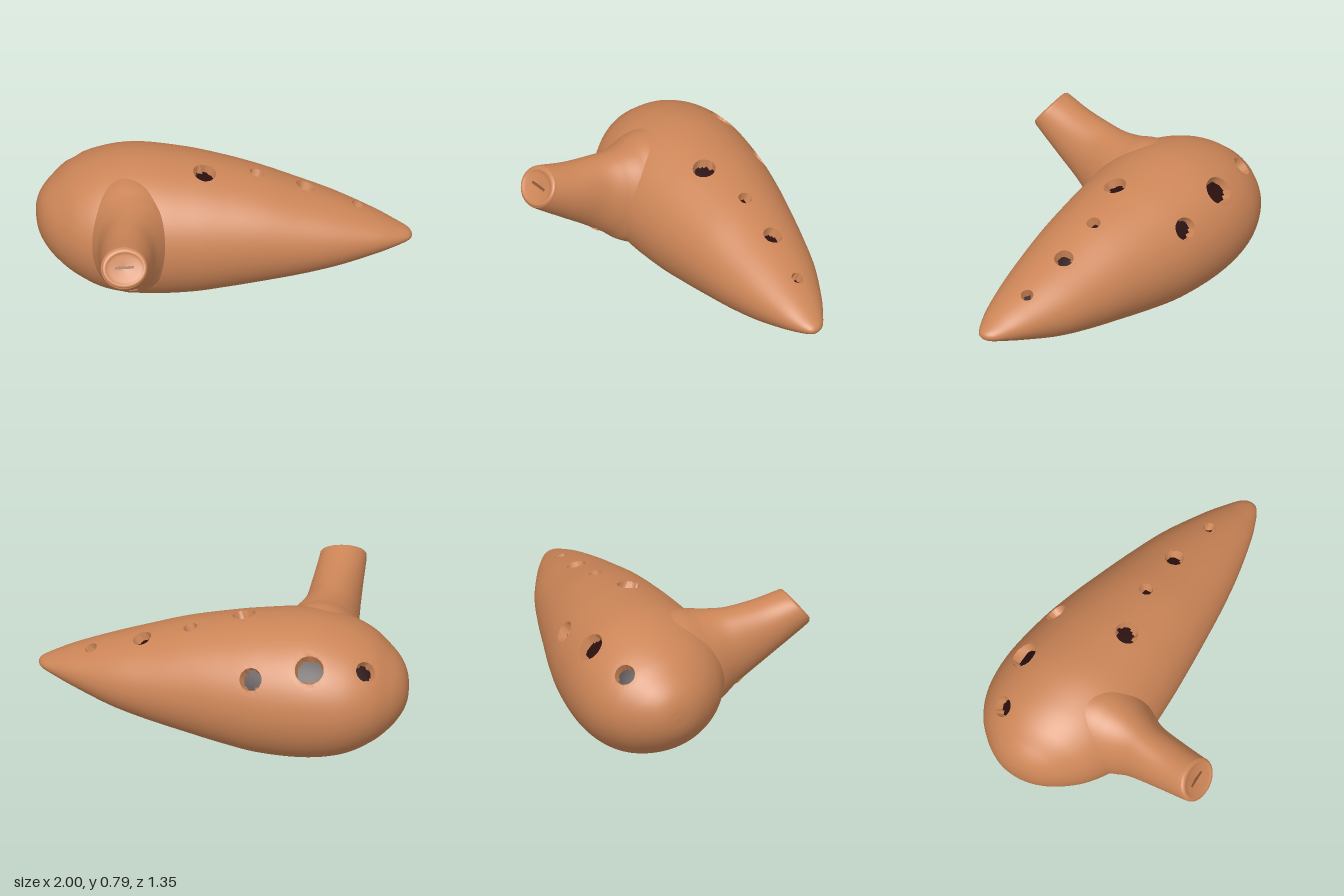
import * as THREE from 'three';

const clay = new THREE.MeshStandardMaterial({ color: 0xcc8557 });
clay.name = 'terracotta clay';
const hollow = new THREE.MeshStandardMaterial({ color: 0x2a0f0e });
hollow.name = 'dark hollow';
const groove = new THREE.MeshStandardMaterial({ color: 0x8a5434 });
groove.name = 'shaded clay';

const V = (x, y, z) => new THREE.Vector3(x, y, z);
const spline = (pts) => new THREE.CatmullRomCurve3(pts, false, 'catmullrom', 0.5);

// Grid of points around a swept elliptical section: rows along u, columns around
function makeGrid(rows, cols, pointAt, flip) {
  const pts = [], index = [];
  for (let i = 0; i <= rows; i++)
    for (let j = 0; j < cols; j++) pts.push(pointAt(i / rows, (j / cols) * Math.PI * 2));
  for (let i = 0; i < rows; i++)
    for (let j = 0; j < cols; j++) {
      const a = i * cols + j, b = i * cols + ((j + 1) % cols);
      const c = a + cols, d = b + cols;
      index.push(...(flip ? [a, b, c, b, d, c] : [a, c, b, b, c, d]));
    }
  return { pts, index };
}

function toGeometry(pts, index) {
  const g = new THREE.BufferGeometry().setFromPoints(pts);
  g.setIndex(index);
  g.computeVertexNormals();
  return g;
}

// Sink round holes into a grid; returns the skin, hole walls and hole floors as meshes
function carve(name, { pts, index }, holes) {
  const normals = toGeometry(pts, index).attributes.normal;
  const sunk = new Set();
  const cuts = holes.map(([x, y, z, r, stretch = 1]) => {
    const target = V(x, y, z);
    let best = 0;
    pts.forEach((p, i) => {
      if (p.distanceToSquared(target) < pts[best].distanceToSquared(target)) best = i;
    });
    return { c: pts[best].clone(), n: new THREE.Vector3().fromBufferAttribute(normals, best), r, stretch };
  });
  const snap = 0.01, depth = 0.05;
  for (const { c, n, r, stretch } of cuts)
    pts.forEach((p, i) => {
      const d = p.clone().sub(c);
      const along = d.dot(n);
      if (Math.abs(along) > r * 1.2) return;
      const rad = d.addScaledVector(n, -along);
      const len = Math.hypot(rad.x / stretch, rad.y, rad.z);
      if (len > r + snap) return;
      if (len >= r - snap) {
        p.addScaledVector(rad, r / len - 1);
      } else {
        p.addScaledVector(rad, (0.96 * r) / (r - snap) - 1).addScaledVector(n, -depth);
        sunk.add(i);
      }
    });
  const lists = [[], [], []];
  for (let i = 0; i < index.length; i += 3) {
    const tri = index.slice(i, i + 3);
    const count = tri.filter((k) => sunk.has(k)).length;
    lists[count === 0 ? 0 : count < 3 ? 1 : 2].push(...tri);
  }
  const group = new THREE.Group();
  group.name = name;
  ['Skin', 'HoleWalls', 'HoleFloors'].forEach((part, k) => {
    const mesh = new THREE.Mesh(toGeometry(pts, lists[k]), k === 2 ? hollow : clay);
    mesh.name = name + part;
    group.add(mesh);
  });
  return group;
}

// Body: x, back z, front z, bottom y, top y
const bodyStations = [
  [-1, -0.3, -0.3, 0.42, 0.42],
  [-0.99, -0.375, -0.21, 0.34, 0.49],
  [-0.96, -0.445, -0.125, 0.27, 0.555],
  [-0.9, -0.525, -0.03, 0.195, 0.62],
  [-0.8, -0.61, 0.075, 0.115, 0.7],
  [-0.65, -0.665, 0.16, 0.04, 0.763],
  [-0.45, -0.67, 0.195, 0.004, 0.795],
  [-0.2, -0.625, 0.2, 0.008, 0.772],
  [0, -0.565, 0.195, 0.04, 0.735],
  [0.2, -0.49, 0.185, 0.08, 0.687],
  [0.4, -0.412, 0.17, 0.125, 0.62],
  [0.6, -0.322, 0.145, 0.18, 0.55],
  [0.8, -0.2, 0.105, 0.253, 0.47],
  [0.91, -0.12, 0.07, 0.297, 0.418],
  [0.97, -0.07, 0.042, 0.322, 0.388],
  [0.993, -0.036, 0.02, 0.338, 0.37],
  [1, -0.005, -0.005, 0.353, 0.353],
];

function makeBody() {
  const centre = spline(bodyStations.map(([x, z0, z1, y0, y1]) => V(x, (y0 + y1) / 2, (z0 + z1) / 2)));
  const radius = spline(bodyStations.map(([x, z0, z1, y0, y1]) => V(x, (y1 - y0) / 2, (z1 - z0) / 2)));
  const grid = makeGrid(320, 150, (u, a) => {
    const c = centre.getPoint(u), r = radius.getPoint(u);
    return V(c.x, c.y + r.y * Math.sin(a), c.z + r.z * Math.cos(a));
  }, false);
  // Finger holes on top, at the back, and thumb holes underneath: x, y, z, radius
  return carve('body', grid, [
    [-0.11, 0.75, -0.13, 0.062],
    [0.18, 0.69, -0.18, 0.038],
    [0.44, 0.61, -0.16, 0.052],
    [0.71, 0.5, -0.1, 0.034],
    [-0.76, 0.62, -0.49, 0.056],
    [-0.475, 0.67, -0.555, 0.078],
    [-0.16, 0.6, -0.54, 0.062],
    [0.26, 0.1, -0.03, 0.055],
    [-0.73, 0.08, -0.18, 0.085],
  ]);
}

// Spout: top z, top y, bottom z, bottom y, right x, left x, from inside the body to the tip
const spoutStations = [
  [-0.25, 0.75, 0, 0.16, -0.78, -0.34],
  [-0.06, 0.764, 0.1, 0.16, -0.76, -0.28],
  [0.05, 0.742, 0.18, 0.205, -0.735, -0.3],
  [0.15, 0.73, 0.25, 0.268, -0.715, -0.36],
  [0.25, 0.73, 0.35, 0.345, -0.715, -0.415],
  [0.4, 0.745, 0.5, 0.455, -0.725, -0.452],
  [0.53, 0.772, 0.655, 0.57, -0.738, -0.485],
  [0.553, 0.774, 0.675, 0.597, -0.733, -0.49],
  [0.57, 0.762, 0.675, 0.612, -0.72, -0.503],
  [0.575, 0.742, 0.657, 0.627, -0.695, -0.528],
  [0.605, 0.682, 0.605, 0.682, -0.612, -0.612],
];

function makeSpout() {
  const top = spline(spoutStations.map(([z, y, , , l, r]) => V((l + r) / 2, y, z)));
  const bottom = spline(spoutStations.map(([, , z, y, l, r]) => V((l + r) / 2, y, z)));
  const width = spline(spoutStations.map(([, , , , l, r]) => V((r - l) / 2, 0, 0)));
  const grid = makeGrid(150, 90, (u, a) => {
    const t = top.getPoint(u), b = bottom.getPoint(u);
    const p = b.clone().lerp(t, 0.5 + 0.5 * Math.sin(a));
    p.x += width.getPoint(u).x * Math.cos(a);
    return p;
  }, true);
  // Sound window on the underside
  return carve('spout', grid, [[-0.575, 0.295, 0.29, 0.034, 2.2]]);
}

export function createModel() {
  const model = new THREE.Group();
  model.name = 'ocarina';
  model.add(makeBody(), makeSpout());

  // Narrow blowing slot across the tip
  const slot = new THREE.Mesh(new THREE.BoxGeometry(0.11, 0.014, 0.008), groove);
  slot.name = 'blowingSlot';
  slot.position.set(-0.612, 0.683, 0.607);
  slot.rotation.x = -0.608;
  model.add(slot);
  return model;
}
